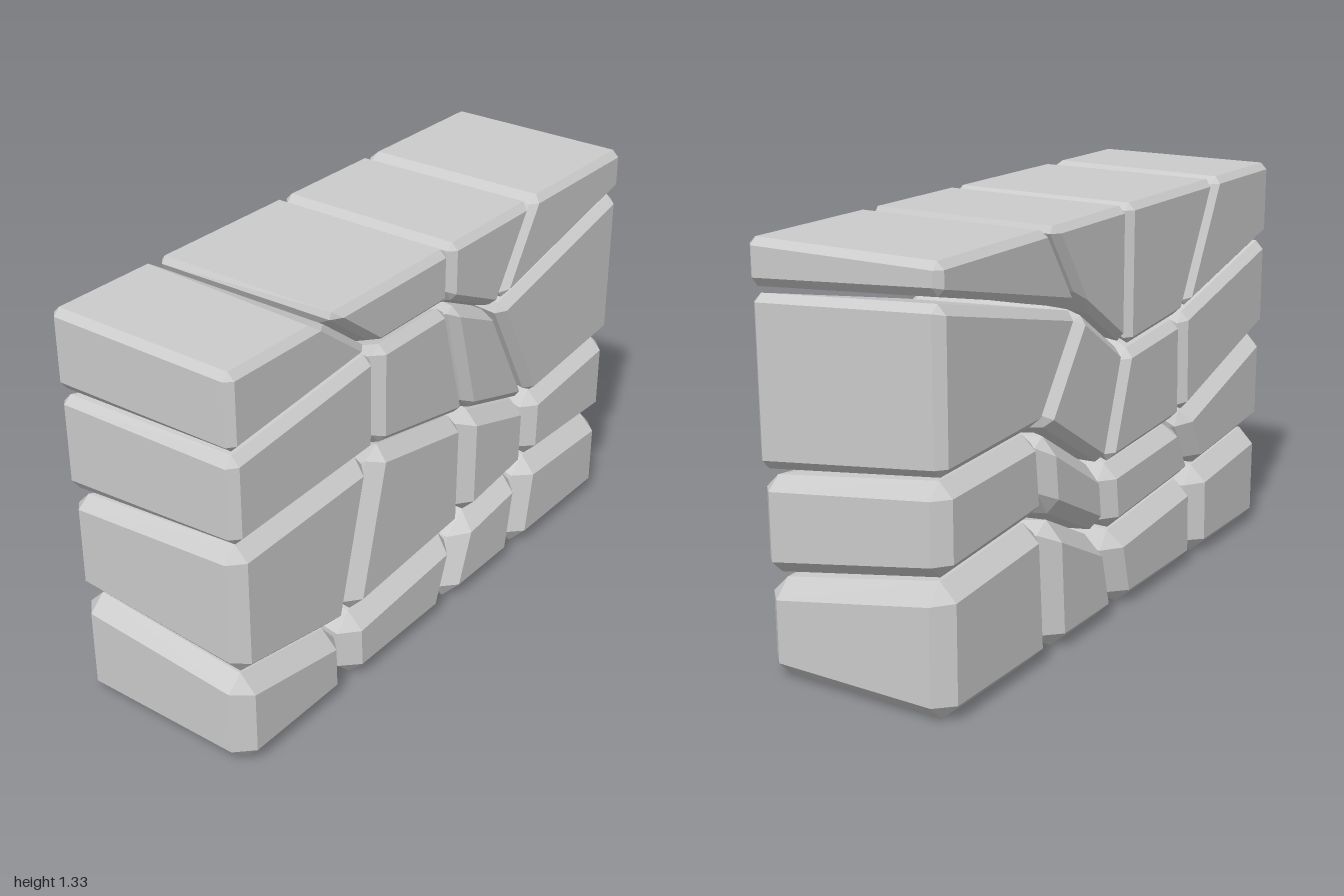
import * as THREE from 'three';
import { ConvexGeometry } from 'three/addons/geometries/ConvexGeometry.js';

const HALF_DEPTH = 0.33;
const GAP = 0.009;                              // half the joint between stones
const BEVEL = [0.022, 0.028, 0.045, 0.055];     // per course, top to bottom

// Joint corners [x, y] on each face, one row per course line, top to bottom
const FRONT = [
  [[-1, 1.33], [-0.6, 1.33], [0, 1.33], [0.46, 1.33], [1, 1.33]],
  [[-1, 1.08], [-0.36, 1.145], [0, 1.145], [0.265, 1.02], [1, 1.185]],
  [[-1, 0.78], [-0.36, 0.805], [0.12, 0.71], [0.495, 0.595], [1, 0.645]],
  [[-1, 0.335], [-0.505, 0.245], [0.115, 0.29], [0.49, 0.335], [1, 0.32]],
  [[-1, 0], [-0.5, 0], [0.01, 0], [0.43, 0], [1, 0]],
];
const BACK = [
  [[-1, 1.33], [-0.59, 1.33], [0, 1.33], [0.45, 1.33], [1, 1.33]],
  [[-1, 1.07], [-0.37, 0.91], [0, 0.875], [0.27, 1.06], [1, 1.23]],
  [[-1, 0.74], [-0.38, 0.55], [0.12, 0.515], [0.49, 0.75], [1, 0.725]],
  [[-1, 0.375], [-0.5, 0.325], [0.09, 0.275], [0.46, 0.47], [1, 0.425]],
  [[-1, 0], [-0.51, 0], [0.02, 0], [0.43, 0], [1, 0]],
];

// Corner p moved inwards by dIn from the edge arriving from a and by dOut
// from the edge leaving to c (corners run clockwise)
function insetCorner(a, p, c, dIn, dOut) {
  const u = new THREE.Vector2(p[0] - a[0], p[1] - a[1]).normalize();
  const v = new THREE.Vector2(c[0] - p[0], c[1] - p[1]).normalize();
  const s = v.x * u.y - v.y * u.x;
  return [
    p[0] + (v.x * dIn - u.x * dOut) / s,
    p[1] + (v.y * dIn - u.y * dOut) / s,
  ];
}

// Three bevel points for each corner of one face of a stone
function facePoints(grid, row, col, side) {
  const quad = [grid[row][col], grid[row][col + 1], grid[row + 1][col + 1], grid[row + 1][col]];
  // Outer edges of the wall keep their full size: top, right, bottom, left
  const gaps = [row === 0, col === 3, row === 3, col === 0].map((outer) => (outer ? 0 : GAP));
  const b = BEVEL[row];
  const points = [];
  quad.forEach((p, i) => {
    const j = (i + 3) % 4;
    const a = quad[j], c = quad[(i + 1) % 4];
    const add = (dIn, dOut, z) => {
      const [x, y] = insetCorner(a, p, c, gaps[j] + dIn, gaps[i] + dOut);
      points.push(new THREE.Vector3(x, y, side * z));
    };
    add(b, b, HALF_DEPTH);
    add(b, 0, HALF_DEPTH - b);
    add(0, b, HALF_DEPTH - b);
  });
  return points;
}

export function createModel() {
  const wall = new THREE.Group();
  wall.name = 'stoneWall';
  const material = new THREE.MeshStandardMaterial({ color: 0xcccccc, flatShading: true });
  const courses = ['top', 'upper', 'lower', 'bottom'];

  // Each stone joins a cell of the front joints to the same cell of the back
  courses.forEach((course, row) => {
    const group = new THREE.Group();
    group.name = `${course}Course`;
    for (let col = 0; col < 4; col++) {
      const points = [...facePoints(FRONT, row, col, 1), ...facePoints(BACK, row, col, -1)];
      const stone = new THREE.Mesh(new ConvexGeometry(points), material);
      stone.name = `${course}Stone${col + 1}`;
      group.add(stone);
    }
    wall.add(group);
  });
  return wall;
}
